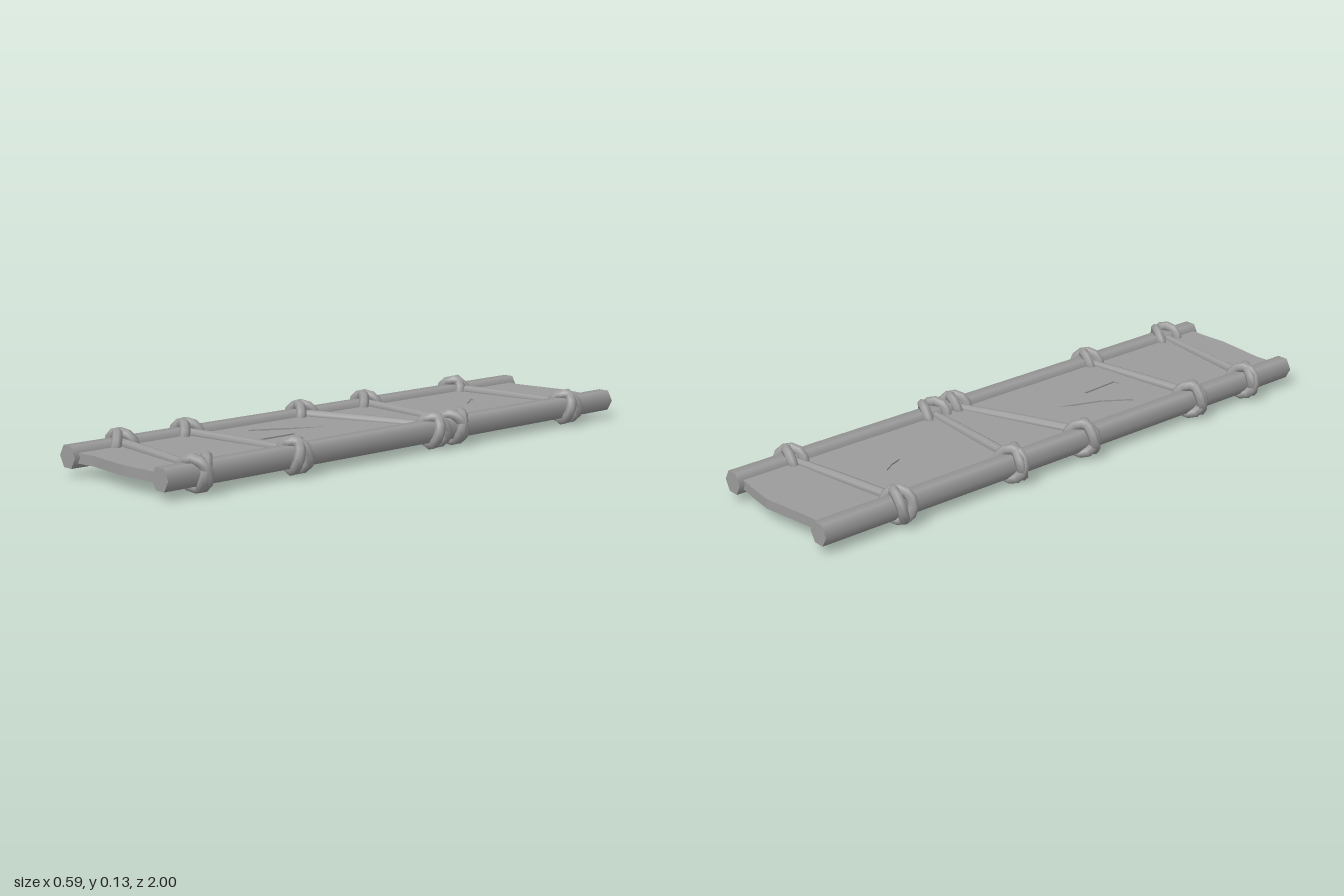
import * as THREE from 'three';

const mat = new THREE.MeshStandardMaterial({ color: 0x9c9c9c });
const MID = 0.066; // height of the pole axes

function add(parent, name, geometry) {
  const mesh = new THREE.Mesh(geometry, mat);
  mesh.name = name;
  parent.add(mesh);
  return mesh;
}

// Tapered rope from a to b, swelling a little along its middle
function rope(parent, name, a, b, r0, r1) {
  const dir = b.clone().sub(a), len = dir.length();
  const geo = new THREE.CylinderGeometry(r1, r0, len, 8, 5);
  const p = geo.attributes.position;
  for (let i = 0; i < p.count; i++) {
    const s = 1 + 0.16 * Math.cos((p.getY(i) / len) * Math.PI);
    p.setX(i, p.getX(i) * s);
    p.setZ(i, p.getZ(i) * s);
  }
  const mesh = add(parent, name, geo);
  mesh.position.copy(a).addScaledVector(dir, 0.5);
  mesh.quaternion.setFromUnitVectors(new THREE.Vector3(0, 1, 0), dir.normalize());
}

// Two tilted rope rings around a pole; pinch moves their crossing to the outer side
function knot(parent, x, y, z, spin, pinch) {
  const g = new THREE.Group();
  g.name = 'knot';
  for (const s of [-1, 1]) {
    const geo = new THREE.TorusGeometry(0.046, 0.0175, 7, 12);
    geo.scale(1.04, 1.02, 1);
    geo.rotateX(s * 0.24);
    geo.rotateY(s * 0.46 + spin);
    geo.translate(0, 0, Math.sign(x) * s * pinch);
    add(g, 'knotRing', geo);
  }
  g.position.set(x, y, z);
  parent.add(g);
}

// One slab of the board, outlined in x and z, with optional cuts
function slab(parent, name, top, depth, cuts) {
  const outline = [
    [-0.23, -0.98], [-0.16, -0.97], [-0.06, -0.985], [0.04, -1], [0.13, -0.99], [0.23, -0.975],
    [0.23, 0.985], [0.15, 0.985], [0.05, 0.992], [-0.05, 0.983], [-0.13, 0.975], [-0.23, 0.985],
  ];
  const toPoints = (list) => list.map(([x, z]) => new THREE.Vector2(x, z));
  const shape = new THREE.Shape(toPoints(outline));
  for (const cut of cuts) shape.holes.push(new THREE.Path(toPoints(cut)));
  const geo = new THREE.ExtrudeGeometry(shape, { depth, bevelEnabled: false });
  geo.rotateX(Math.PI / 2);
  geo.translate(0, top, 0);
  add(parent, name, geo);
}

export function createModel() {
  const model = new THREE.Group();
  model.name = 'plankBridge';

  // Side poles, six-sided with softened sides
  for (const s of [-1, 1]) {
    const geo = new THREE.CylinderGeometry(0.039, 0.039, 2, 6);
    geo.rotateY(Math.PI / 2);
    geo.rotateX(Math.PI / 2);
    geo.scale(1, 1.03, 1);
    add(model, s < 0 ? 'rightPole' : 'leftPole', geo).position.set(s * 0.229, MID, 0);
  }

  // Board: thin upper layer with shallow cracks over a solid lower layer
  const board = new THREE.Group();
  board.name = 'board';
  slab(board, 'boardTop', 0.08, 0.005, [
    [[-0.055, -0.61], [-0.03, -0.6], [-0.005, -0.56], [0.01, -0.515], [-0.018, -0.56]],
    [[-0.005, 0.13], [-0.06, 0.28], [-0.12, 0.37], [-0.135, 0.36], [-0.1, 0.29]],
    [[0.01, 0.29], [0.025, 0.28], [0.035, 0.43], [0.01, 0.435]],
  ]);
  slab(board, 'boardBase', 0.075, 0.028, []);
  model.add(board);

  // Lashings: z at the -x and +x poles, then spin and pinch of each knot
  const lashings = [
    [-0.71, -0.78, 0.1, 0.1, 0, 0],
    [-0.25, -0.22, -0.05, 0, 0.016, 0.016],
    [0.05, -0.12, 0.12, 0.15, 0.016, 0],
    [0.545, 0.485, 0.08, 0.05, 0.016, 0],
    [0.805, 0.86, -0.1, -0.08, 0.016, 0.016],
  ];
  for (const [za, zb, spinA, spinB, pinchA, pinchB] of lashings) {
    const g = new THREE.Group();
    g.name = 'lashing';
    for (const s of [1, -1]) {
      const a = new THREE.Vector3(-0.21, MID + s * 0.018, za);
      const b = new THREE.Vector3(0.21, MID + s * 0.0145, zb);
      rope(g, s > 0 ? 'upperRope' : 'lowerRope', a, b, 0.0165, 0.013);
    }
    knot(g, -0.234, 0.071, za, spinA, pinchA);
    knot(g, 0.233, 0.067, zb, spinB, pinchB);
    model.add(g);
  }
  return model;
}
